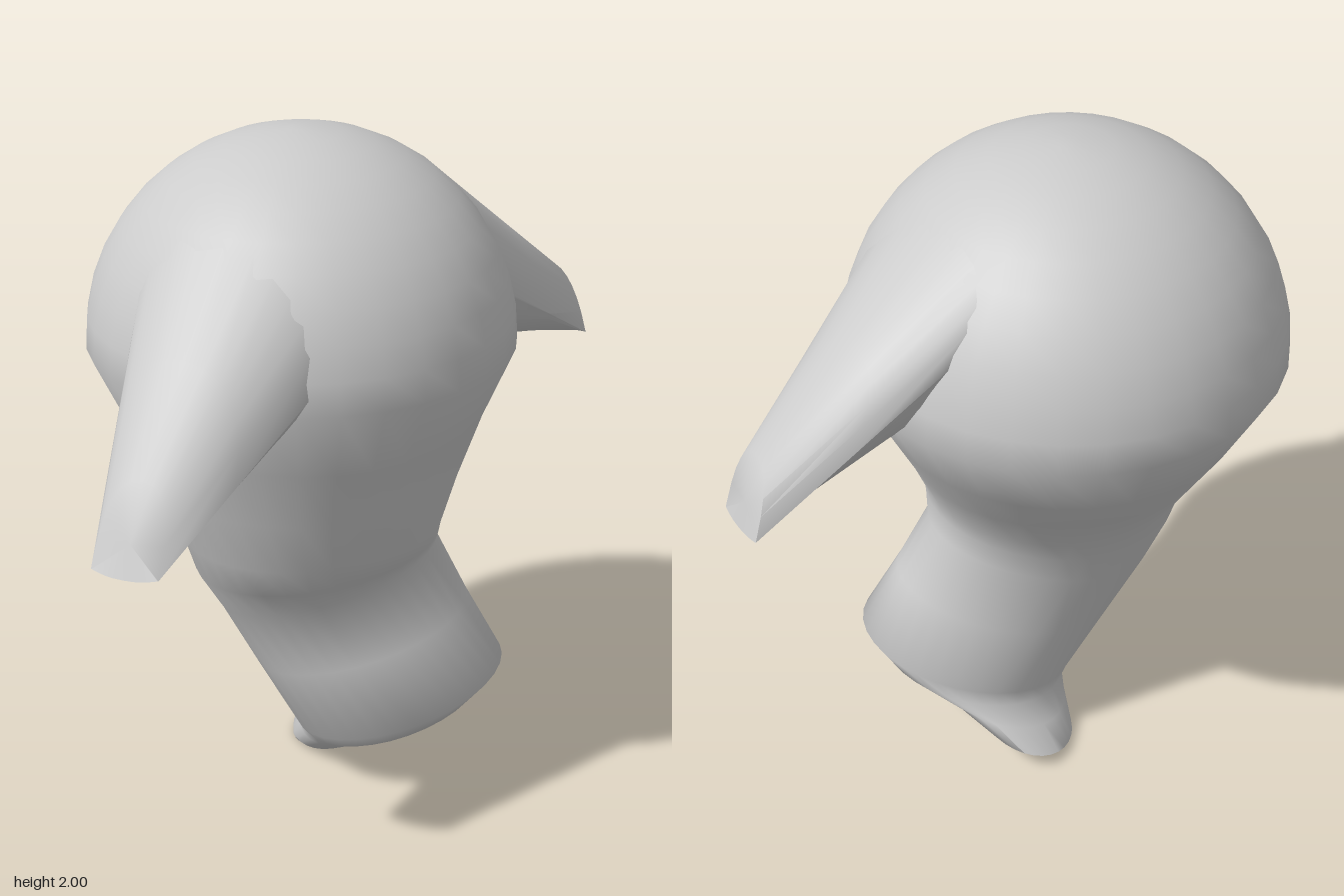
import * as THREE from 'three';
import { toCreasedNormals } from 'three/addons/utils/BufferGeometryUtils.js';

const material = new THREE.MeshStandardMaterial({ color: 0xcccccc, side: THREE.DoubleSide });
const headCenter = new THREE.Vector3(-0.14, 1.4, -0.12);

// Skin a list of closed rings of points and close both ends
function loft(rings, crease) {
  const n = rings[0].length, pos = [], index = [];
  const id = (i, j) => i * n + (j % n);
  rings.forEach(r => r.forEach(p => pos.push(p.x, p.y, p.z)));
  const last = rings.length - 1, start = rings.length * n, end = start + 1;
  for (const r of [rings[0], rings[last]]) {
    const c = new THREE.Vector3();
    r.forEach(p => c.addScaledVector(p, 1 / n));
    pos.push(c.x, c.y, c.z);
  }
  for (let j = 0; j < n; j++) {
    index.push(start, id(0, j + 1), id(0, j));
    for (let i = 0; i < last; i++) {
      index.push(id(i, j), id(i, j + 1), id(i + 1, j));
      index.push(id(i, j + 1), id(i + 1, j + 1), id(i + 1, j));
    }
    index.push(id(last, j), id(last, j + 1), end);
  }
  const g = new THREE.BufferGeometry();
  g.setAttribute('position', new THREE.Float32BufferAttribute(pos, 3));
  g.setIndex(index);
  return toCreasedNormals(g, crease);
}

// Oval ring, tilted along x by a slope
function oval(x, y, z, rx, rz, slope = 0, n = 32) {
  return Array.from({ length: n }, (_, j) => {
    const t = j / n * Math.PI * 2, dx = Math.cos(t) * rx;
    return new THREE.Vector3(x + dx, y + slope * dx, z + Math.sin(t) * rz);
  });
}

// Arm section through two side points, a top point and a bottom point:
// full and rounded above, nearly straight below
function section(pts, n = 24) {
  const [e1, top, e2, bottom] = pts.map(p => new THREE.Vector3(...p));
  const c = e1.clone().add(e2).multiplyScalar(0.5);
  return Array.from({ length: n }, (_, j) => {
    const t = j / n * Math.PI * 2, s = Math.sin(t), k = Math.cos(t);
    const side = Math.sign(k) * Math.pow(Math.abs(k), 0.85);
    const lift = Math.pow(Math.abs(s), s > 0 ? 0.75 : 2.2);
    return c.clone().addScaledVector(e1.clone().sub(c), side)
      .addScaledVector((s > 0 ? top : bottom).clone().sub(c), lift);
  });
}

// Arm whose root lies on the head's surface, so it leaves the dome smoothly
function arm(root, tip) {
  const base = section(root).map(p => {
    p.sub(headCenter);
    return p.setLength(0.603 + Math.min(0, p.y) * 0.3).add(headCenter);
  });
  const end = section(tip);
  const middle = base.map((p, i) => p.clone().lerp(end[i], 0.5));
  return loft([base, middle, end], 1);
}

export function createModel() {
  const model = new THREE.Group();
  const add = (name, geometry) => {
    const mesh = new THREE.Mesh(geometry, material);
    mesh.name = name;
    model.add(mesh);
  };

  // Domed head running into the tapered body
  const rings = [];
  for (let i = 0; i <= 10; i++) {
    const a = (i + 0.3) / 10.3 * Math.PI / 2, r = 0.61 * Math.sin(a);
    rings.push(oval(headCenter.x, headCenter.y + 0.6 * Math.cos(a), headCenter.z, r, r));
  }
  rings.push(
    oval(-0.14, 1.2, -0.1, 0.515, 0.52),
    oval(-0.145, 1.02, -0.06, 0.445, 0.42),
    oval(-0.13, 0.86, -0.03, 0.38, 0.34, 0.05),
    oval(-0.115, 0.78, -0.035, 0.36, 0.305, 0.15),
    // Tilted neck
    oval(-0.08, 0.68, -0.07, 0.325, 0.235, 0.27),
    oval(0.02, 0.48, -0.06, 0.32, 0.24, 0.28),
    oval(0.135, 0.265, -0.05, 0.315, 0.26, 0.31),
    // Rounded foot reaching down and back
    oval(0.12, 0.205, -0.07, 0.275, 0.235, 0.29),
    oval(0.05, 0.15, -0.14, 0.205, 0.215, 0.35),
    oval(-0.02, 0.065, -0.22, 0.145, 0.18, 0.35),
    oval(-0.06, 0.02, -0.23, 0.105, 0.11, 0.18)
  );
  add('body', loft(rings, 1.4));

  // Arms: side, top, side, bottom points at the root and at the tip
  add('rightArm', arm(
    [[-0.22, 1.45, 0.48], [-0.4, 1.81, 0.245], [-0.68, 1.58, 0.2], [-0.45, 1.27, 0.33]],
    [[-0.65, 1.1, 0.73], [-0.67, 1.32, 0.61], [-0.81, 1.1, 0.63], [-0.735, 1.09, 0.69]]));
  add('leftArm', arm(
    [[0.26, 1.65, -0.58], [0.21, 1.87, -0.29], [0.46, 1.5, -0.06], [0.37, 1.31, -0.33]],
    [[0.74, 1.22, -0.65], [0.72, 1.41, -0.53], [0.81, 1.2, -0.47], [0.78, 1.2, -0.56]]));

  return model;
}
